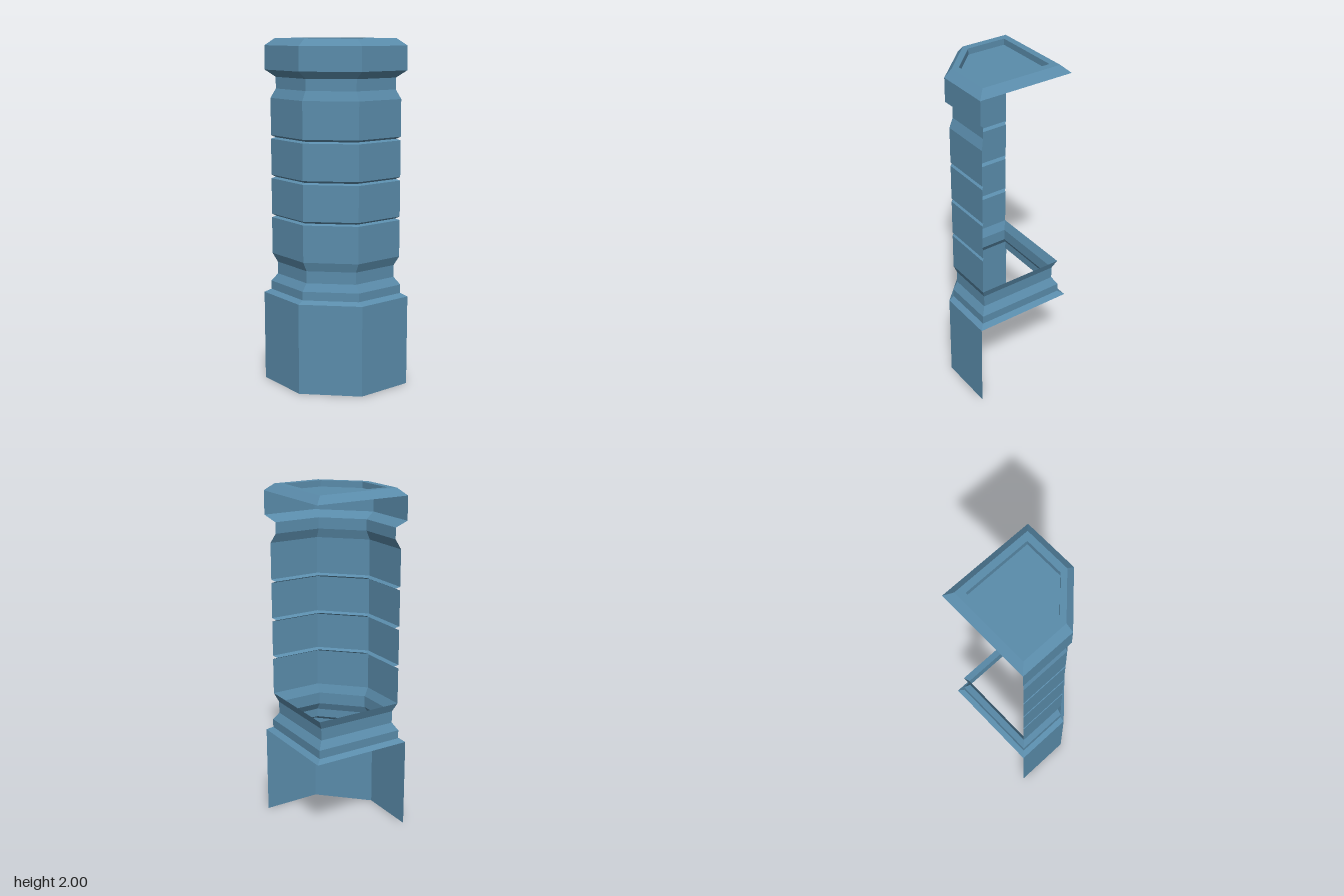
import * as THREE from 'three';

// Five-sided outline: a square of half-width r with its +x +z corner cut off
function outline(r, cut = 0.042) {
  return [[r, -r], [r, cut], [cut, r], [-r, r], [-r, -r]];
}

// Sweep a profile of [y, half-width, cut] rows around the outline.
// sides = 3 leaves the two rear sides open, sides = 5 closes the ring.
function band(name, profile, sides, material) {
  const pos = [];
  for (let i = 0; i < profile.length - 1; i++) {
    const [y0, r0, c0] = profile[i];
    const [y1, r1, c1] = profile[i + 1];
    const lower = outline(r0, c0);
    const upper = outline(r1, c1);
    for (let s = 0; s < sides; s++) {
      const t = (s + 1) % 5;
      const a = [lower[s][0], y0, lower[s][1]];
      const b = [lower[t][0], y0, lower[t][1]];
      const c = [upper[t][0], y1, upper[t][1]];
      const d = [upper[s][0], y1, upper[s][1]];
      pos.push(...a, ...d, ...c, ...a, ...c, ...b);
    }
  }
  const geometry = new THREE.BufferGeometry();
  geometry.setAttribute('position', new THREE.Float32BufferAttribute(pos, 3));
  geometry.computeVertexNormals();
  const mesh = new THREE.Mesh(geometry, material);
  mesh.name = name;
  return mesh;
}

export function createModel() {
  const group = new THREE.Group();
  group.name = 'cornerPillar';
  const stone = new THREE.MeshStandardMaterial({ color: 0x5a8cab, side: THREE.DoubleSide });
  stone.name = 'blueStone';

  // Plinth, open at the rear and below
  group.add(band('plinth', [[0, 0.297], [0.53, 0.297]], 3, stone));

  // Moulding that runs all the way round
  group.add(band('baseMoulding', [
    [0.53, 0.297], [0.55, 0.267], [0.6, 0.267],
    [0.645, 0.239], [0.715, 0.239], [0.767, 0.261],
  ], 5, stone));

  // Shaft with three V grooves and a narrow neck
  const shaft = [[0.767, 0.261]];
  for (const y of [0.98, 1.208, 1.436]) {
    shaft.push([y, 0.261], [y + 0.009, 0.243], [y + 0.021, 0.261]);
  }
  shaft.push([1.667, 0.261], [1.72, 0.239], [1.785, 0.239]);
  group.add(band('shaft', shaft, 3, stone));

  // Capital sides
  group.add(band('capitalSides', [[1.785, 0.239], [1.825, 0.283], [1.96, 0.283]], 3, stone));

  // Bevelled top with a sunken panel
  group.add(band('capitalTop', [
    [1.96, 0.283], [2, 0.24, 0.038], [2, 0.201, 0.031], [1.965, 0.201, 0.031],
  ], 5, stone));

  const panelShape = new THREE.Shape(
    outline(0.201, 0.031).map(([x, z]) => new THREE.Vector2(x, -z)));
  const panel = new THREE.Mesh(new THREE.ShapeGeometry(panelShape).rotateX(-Math.PI / 2), stone);
  panel.position.y = 1.965;
  panel.name = 'sunkenPanel';
  group.add(panel);

  return group;
}
